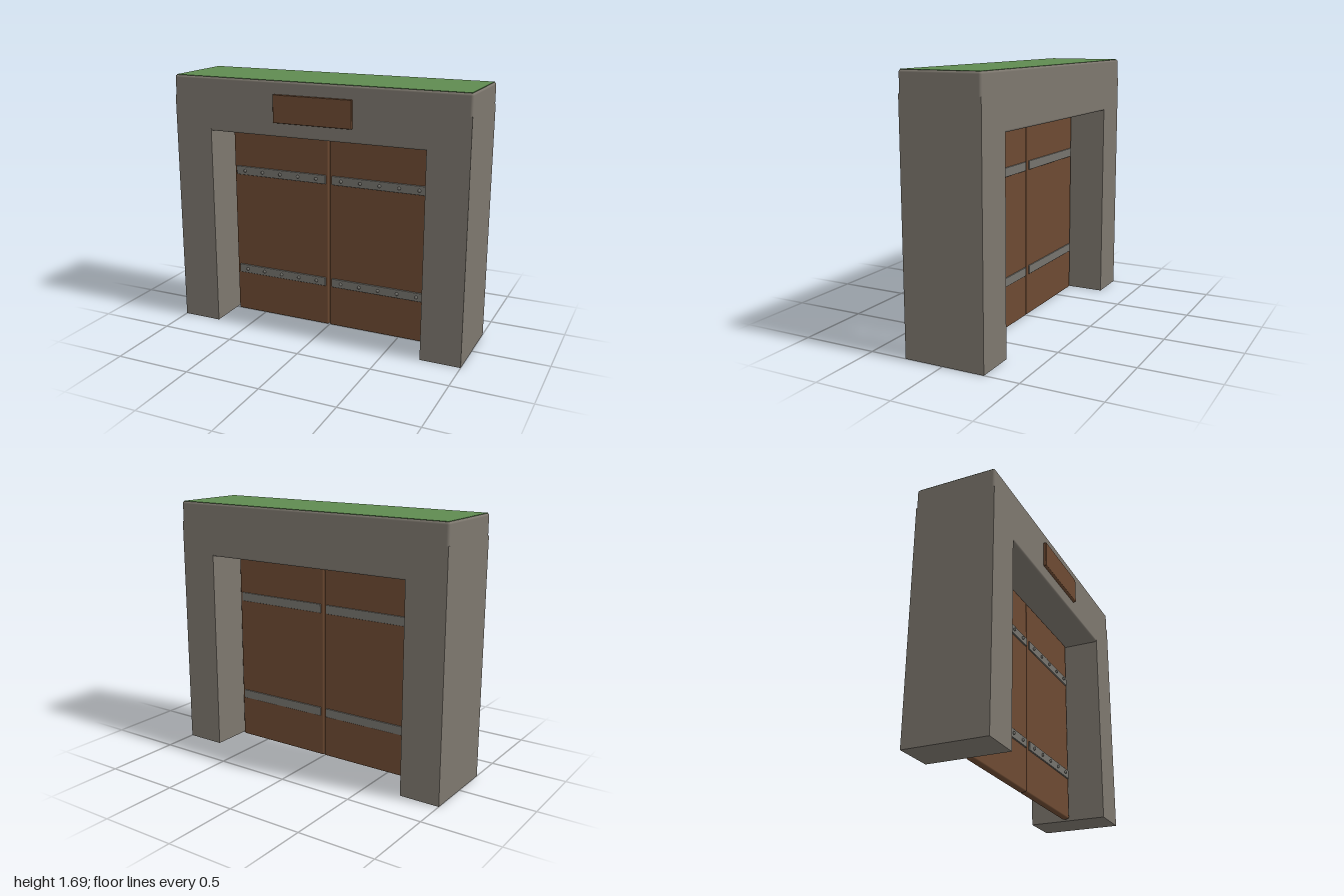
import * as THREE from 'three';
import { RoundedBoxGeometry } from 'three/addons/geometries/RoundedBoxGeometry.js';

const paint = (name, color) => {
  const m = new THREE.MeshStandardMaterial({ color });
  m.name = name;
  return m;
};

export function createModel() {
  const stone = paint('stone', 0x7d776e);
  const wood = paint('wood', 0x6d4a32);
  const iron = paint('iron', 0x75736d);
  const grass = paint('grass', 0x5f8b50);

  const gate = new THREE.Group();
  gate.name = 'gate';

  // Box given by its limits, with an optional rounded edge
  const box = (parent, name, mat, [x0, x1], [y0, y1], [z0, z1], r = 0) => {
    const size = [x1 - x0, y1 - y0, z1 - z0];
    const geo = r ? new RoundedBoxGeometry(...size, 2, r) : new THREE.BoxGeometry(...size);
    const mesh = new THREE.Mesh(geo, mat);
    mesh.name = name;
    mesh.position.set((x0 + x1) / 2, (y0 + y1) / 2, (z0 + z1) / 2);
    parent.add(mesh);
    return mesh;
  };

  // Stone frame: rounded lintel over two square pillars
  const depth = [-0.275, 0.255];
  box(gate, 'lintel', stone, [-1, 1], [1.337, 1.688], depth, 0.015);
  box(gate, 'leftPillar', stone, [0.735, 1], [0, 1.555], depth);
  box(gate, 'rightPillar', stone, [-1, -0.735], [0, 1.555], depth);

  // Thin grass layer on top
  box(gate, 'grassTop', grass, [-0.99, 0.99], [1.683, 1.69], [-0.265, 0.245]);

  // Sign board on the lintel
  box(gate, 'signBoard', wood, [-0.267, 0.267], [1.427, 1.605], [0.245, 0.275], 0.005);

  // Two doors with iron straps and rivets
  const rivetGeo = new THREE.SphereGeometry(0.011, 12, 8);
  for (const side of [1, -1]) {
    const door = new THREE.Group();
    door.name = side > 0 ? 'leftDoor' : 'rightDoor';
    const span = (a, b) => (side > 0 ? [a, b] : [-b, -a]);
    box(door, 'doorPanel', wood, span(0.002, 0.71), [0.003, 1.335], [-0.035, 0.015], 0.012);
    for (const y of [0.315, 1.028]) {
      box(door, 'strap', iron, span(0.022, 0.69), [y - 0.03, y + 0.03], [-0.042, 0.025], 0.004);
      for (let i = 0; i < 5; i++) {
        const rivet = new THREE.Mesh(rivetGeo, iron);
        rivet.name = 'rivet';
        rivet.position.set(side * (0.09 + i * 0.1335), y, 0.026);
        door.add(rivet);
      }
    }
    gate.add(door);
  }
  return gate;
}
